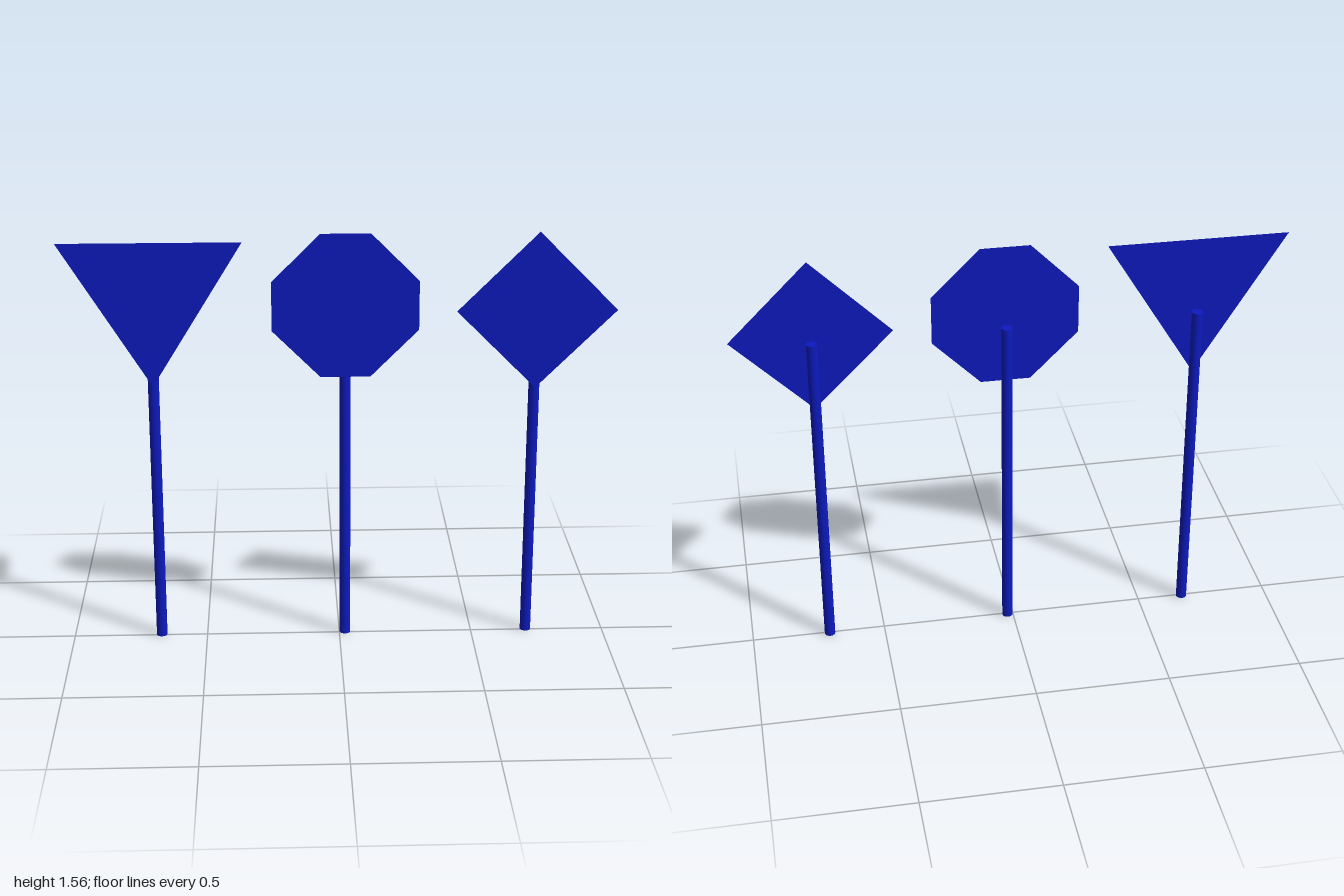
import * as THREE from 'three';

export function createModel() {
  const model = new THREE.Group();
  const poleMaterial = new THREE.MeshStandardMaterial({ color: 0x0d1abf });
  const plateMaterial = new THREE.MeshStandardMaterial({ color: 0x0d1abf, side: THREE.DoubleSide });
  const poleHeight = 1.255, poleRadius = 0.02, poleZ = -0.005, plateZ = 0.025;

  // One sign: a round pole with a thin flat plate just in front of it.
  // Outline points are relative to the plate centre.
  function addSign(name, x, plateY, outline) {
    const sign = new THREE.Group();
    sign.name = name;
    sign.position.x = x;

    const pole = new THREE.Mesh(
      new THREE.CylinderGeometry(poleRadius, poleRadius, poleHeight, 16), poleMaterial);
    pole.name = 'pole';
    pole.position.set(0, poleHeight / 2, poleZ);

    const shape = new THREE.Shape(outline.map(([px, py]) => new THREE.Vector2(px, py)));
    const plate = new THREE.Mesh(new THREE.ShapeGeometry(shape), plateMaterial);
    plate.name = 'plate';
    plate.position.set(0, plateY, plateZ);

    sign.add(pole, plate);
    model.add(sign);
  }

  // Downward-pointing triangle
  addSign('triangleSign', -0.672, 1.527, [[0, -0.53], [0.328, 0], [-0.328, 0]]);

  // Octagon with slightly short straight sides
  const a = 0.264, b = 0.09;
  addSign('octagonSign', 0.021, 1.291,
    [[a, -b], [a, b], [b, a], [-b, a], [-a, b], [-a, -b], [-b, -a], [b, -a]]);

  // Square standing on its corner
  const d = 0.289;
  addSign('diamondSign', 0.709, 1.267, [[d, 0], [0, d], [-d, 0], [0, -d]]);

  return model;
}
